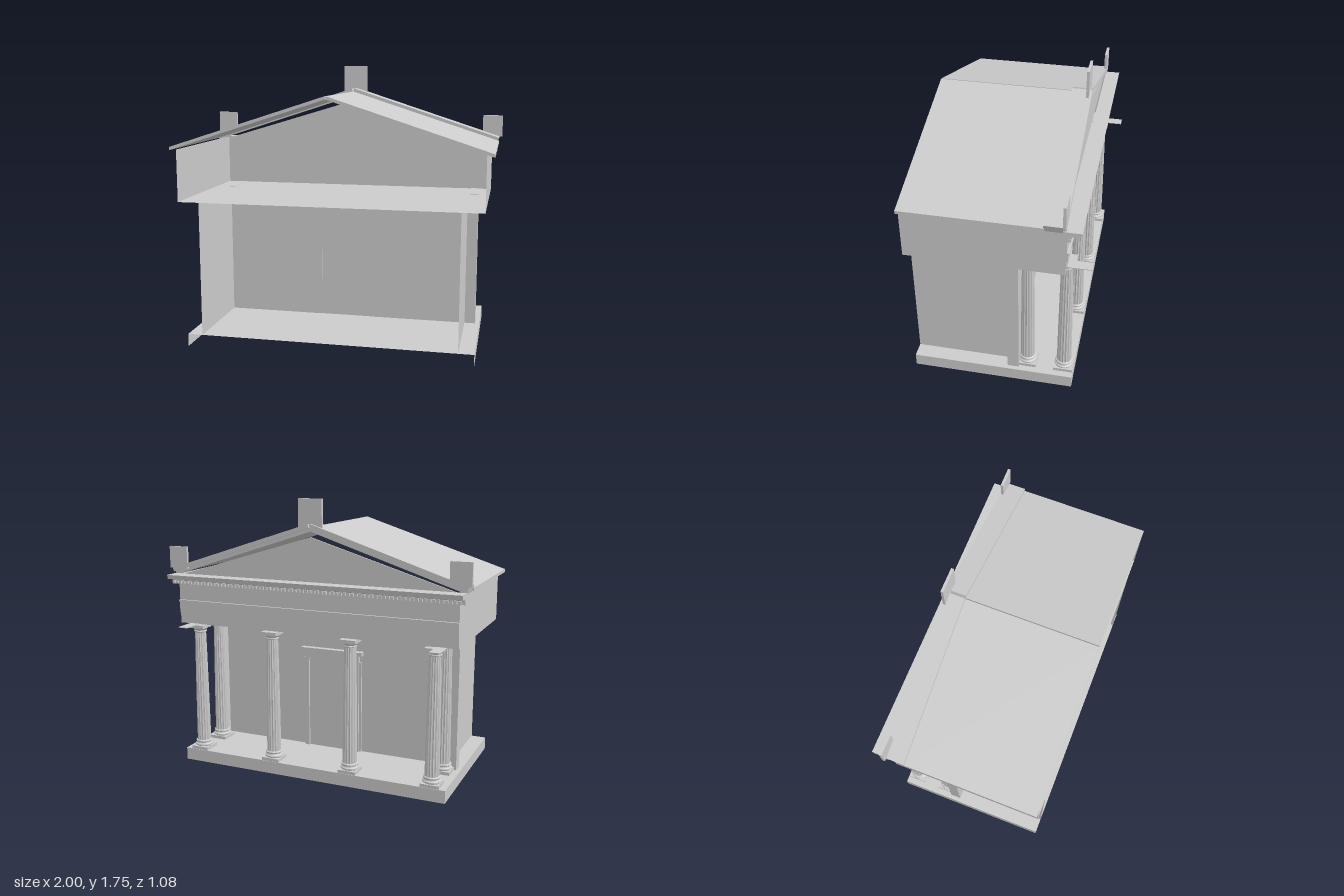
import * as THREE from 'three';
import { mergeGeometries } from 'three/addons/utils/BufferGeometryUtils.js';

const stone = new THREE.MeshStandardMaterial({ color: 0xcccccc, side: THREE.DoubleSide, flatShading: true });

export function createModel() {
  const model = new THREE.Group();

  const add = (name, geometry, parent = model) => {
    const mesh = new THREE.Mesh(geometry, stone);
    mesh.name = name;
    parent.add(mesh);
    return mesh;
  };
  // Box given by its lower and upper limits on each axis
  const block = (x0, x1, y0, y1, z0, z1) =>
    new THREE.BoxGeometry(x1 - x0, y1 - y0, z1 - z0)
      .translate((x0 + x1) / 2, (y0 + y1) / 2, (z0 + z1) / 2);
  // Outline in x and y, extruded from z0 to z1
  const prism = (points, z0, z1) =>
    new THREE.ExtrudeGeometry(new THREE.Shape(points.map(p => new THREE.Vector2(...p))),
      { depth: z1 - z0, bevelEnabled: false }).translate(0, 0, z0);
  // Flat sheets
  const floor = (halfX, y, z0, z1) =>
    new THREE.PlaneGeometry(halfX * 2, z1 - z0).rotateX(-Math.PI / 2).translate(0, y, (z0 + z1) / 2);
  const sideWall = (x, y0, y1, z0, z1) =>
    new THREE.PlaneGeometry(z1 - z0, y1 - y0).rotateY(Math.sign(x) * Math.PI / 2)
      .translate(x, (y0 + y1) / 2, (z0 + z1) / 2);
  const endWall = (halfX, y0, y1, z) =>
    new THREE.PlaneGeometry(halfX * 2, y1 - y0).rotateY(Math.PI).translate(0, (y0 + y1) / 2, z);

  const BACK = 0.54;

  // Platform, open underneath and at the cut end
  add('platformFloor', floor(0.895, 0.08, -0.455, BACK));
  add('platformStep', endWall(0.895, 0, 0.08, -0.455));

  // Chamber wall with a doorway
  const wall = new THREE.Shape([[-0.8, 0.08], [-0.165, 0.08], [-0.165, 0.69], [0.165, 0.69],
    [0.165, 0.08], [0.8, 0.08], [0.8, 0.925], [-0.8, 0.925]].map(p => new THREE.Vector2(...p)));
  add('chamberFrontWall', new THREE.ShapeGeometry(wall).translate(0, 0, -0.05));
  add('doorPanel', block(-0.165, 0.165, 0.08, 0.69, -0.062, -0.054));
  add('doorLintel', block(-0.19, 0.19, 0.69, 0.735, -0.075, -0.05));
  add('doorCornice', block(-0.215, 0.215, 0.735, 0.76, -0.09, -0.05));

  // Entablature front: three stepped fascias and the frieze
  [[0.925, 0.972, -0.4], [0.972, 1.02, -0.406], [1.02, 1.068, -0.412],
    [1.068, 1.08, -0.42], [1.08, 1.19, -0.405]].forEach(([y0, y1, z], i) =>
    add(i < 4 ? 'architraveBand' : 'frieze', block(-0.935, 0.935, y0, y1, z, -0.395)));
  add('ceiling', floor(0.935, 0.925, -0.4, BACK));

  // Horizontal cornice, profile in z and y swept across the front
  const corniceProfile = [[0.395, 1.185], [0.415, 1.185], [0.415, 1.205], [0.435, 1.212],
    [0.435, 1.222], [0.482, 1.222], [0.49, 1.25], [0.395, 1.25]];
  add('cornice', prism(corniceProfile, -0.97, 0.97).rotateY(Math.PI / 2));
  const dentils = [];
  for (let i = 0; i < 78; i++) {
    const x = -0.9625 + i * 0.025;
    dentils.push(block(x - 0.008, x + 0.008, 1.187, 1.207, -0.43, -0.41));
  }
  add('dentils', mergeGeometries(dentils));

  // Pediment panel
  add('tympanum', prism([[-0.93, 1.24], [0.93, 1.24], [0, 1.52]], -0.385, -0.375));

  // Parts repeated on both sides
  for (const s of [-1, 1]) {
    const span = (a, b) => [Math.min(s * a, s * b), Math.max(s * a, s * b)];
    add('platformSide', sideWall(s * 0.895, 0, 0.08, -0.455, BACK));
    add('chamberSideWall', sideWall(s * 0.8, 0.08, 0.925, -0.05, BACK));
    add('pilaster', block(...span(0.797, 0.868), 0.08, 0.922, -0.12, -0.05));
    add('doorJamb', block(...span(0.165, 0.19), 0.08, 0.69, -0.075, -0.05));
    add('doorJambTrim', block(...span(0.19, 0.205), 0.08, 0.69, -0.063, -0.05));
    add('entablatureSide', sideWall(s * 0.935, 0.925, 1.25, -0.4, BACK));
    add('soffitStrip', block(...span(0.8, 0.865), 0.923, 0.927, -0.54, -0.12));

    // Roof slope
    add('roofSlope', prism([[s * 0.98, 1.245], [s * 0.98, 1.265], [s * 0.003, 1.58], [s * 0.003, 1.56]],
      -0.285, BACK));

    // Raking cornice in two layers with square-cut ends
    const rake = (top, bottom) => {
      const n = [0.307 * s, 0.952];
      const at = (x, y, t) => [x * s - n[0] * t, y - n[1] * t];
      return [at(0.982, 1.285, top), at(0.009, 1.6, top), at(0.009, 1.6, bottom), at(0.982, 1.285, bottom)];
    };
    add('rakingCornice', prism(rake(0, 0.025), -0.405, -0.28));
    add('rakingCorniceBed', prism(rake(0.025, 0.047), -0.385, -0.285));
    add('cornerOrnament', block(...span(0.87, 1.0), 1.285, 1.425, -0.405, -0.388));
  }
  add('ridgeOrnament', block(-0.078, 0.078, 1.575, 1.75, -0.39, -0.374));

  // Fluted shaft: a tapered cylinder with its radius scalloped
  const FLUTES = 16;
  const shaft = new THREE.CylinderGeometry(1, 1, 0.75, FLUTES * 4, 6, true);
  const pos = shaft.attributes.position;
  for (let i = 0; i < pos.count; i++) {
    const t = pos.getY(i) / 0.75 + 0.5;
    const angle = Math.atan2(pos.getX(i), pos.getZ(i));
    const flute = 1 - 0.1 * Math.abs(Math.sin(angle * FLUTES / 2));
    const r = (0.045 - 0.009 * Math.pow(t, 1.5)) * flute;
    pos.setXYZ(i, Math.sin(angle) * r, pos.getY(i) + 0.513, Math.cos(angle) * r);
  }
  const lathe = points => new THREE.LatheGeometry(points.map(p => new THREE.Vector2(...p)), 24);
  const baseMoulding = lathe([[0.05, 0.1], [0.058, 0.106], [0.058, 0.114], [0.05, 0.12],
    [0.048, 0.126], [0.053, 0.131], [0.053, 0.137], [0.045, 0.142]]);
  const capitalMoulding = lathe([[0.036, 0.875], [0.041, 0.878], [0.041, 0.884], [0.037, 0.887],
    [0.04, 0.892], [0.048, 0.9], [0.049, 0.906]]);

  const column = (x, z) => {
    const group = new THREE.Group();
    group.name = 'column';
    add('plinth', block(-0.059, 0.059, 0.08, 0.1, -0.059, 0.059), group);
    add('columnBase', baseMoulding, group);
    add('flutedShaft', shaft, group);
    add('capital', capitalMoulding, group);
    add('abacus', block(-0.052, 0.052, 0.905, 0.925, -0.052, 0.052), group);
    group.position.set(x, 0, z);
    model.add(group);
  };
  // Four columns in front and one behind each corner
  for (const x of [-0.795, -0.265, 0.265, 0.795]) column(x, -0.393);
  for (const x of [-0.795, 0.795]) column(x, -0.165);

  return model;
}
